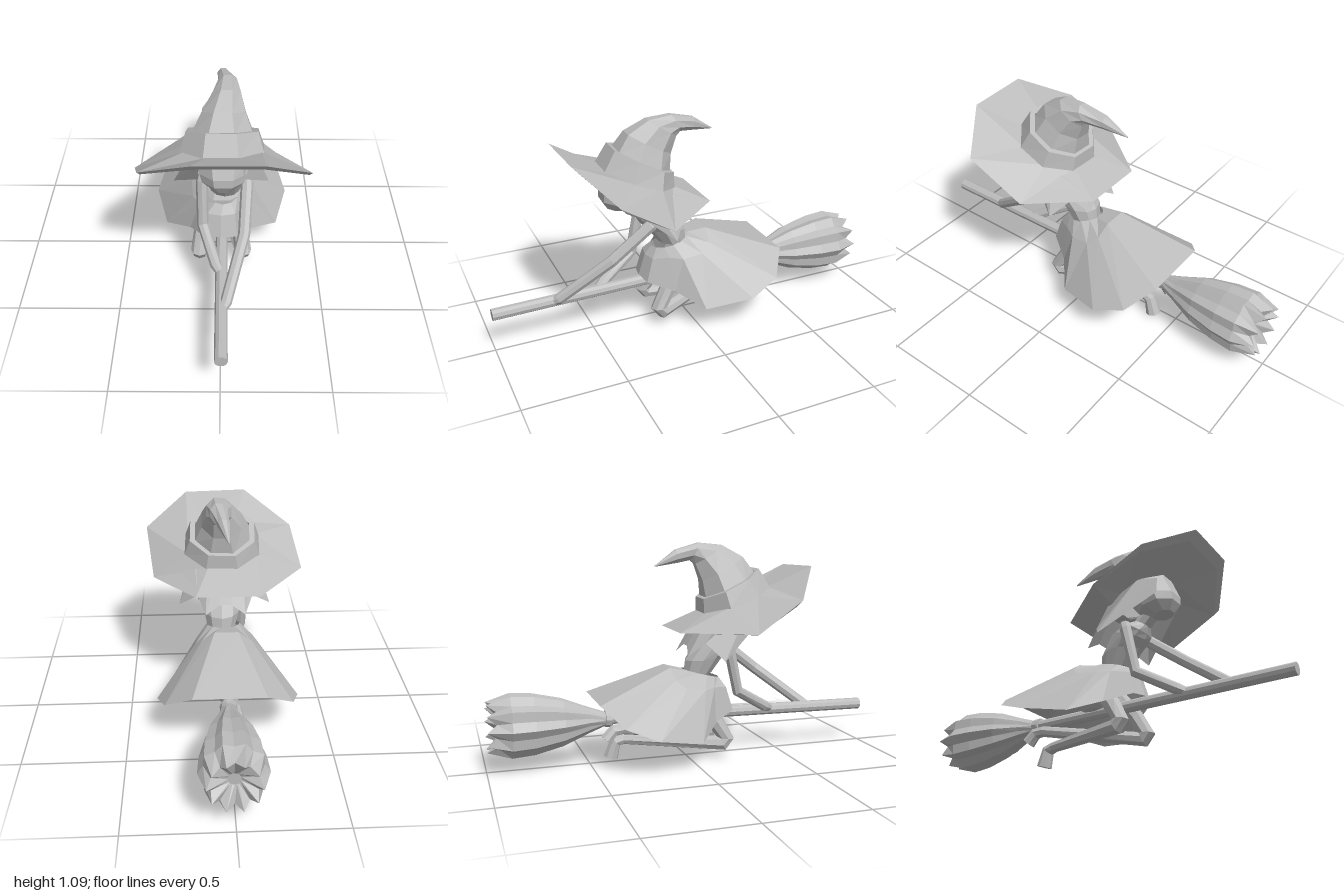
import * as THREE from 'three';

const V = (x, y, z) => new THREE.Vector3(x, y, z);

// Ring of n points, ordered from the front toward +x; lean tips the ring's front edge up (degrees)
function ring(n, x, y, z, rx, rd, lean = 0, phase = 0) {
  const l = THREE.MathUtils.degToRad(lean);
  return Array.from({ length: n }, (_, i) => {
    const a = ((i + phase) / n) * Math.PI * 2, d = rd * Math.cos(a);
    return V(x + rx * Math.sin(a), y + d * Math.sin(l), z + d * Math.cos(l));
  });
}

// Full loop from the points of one half (front centre first)
function mirrored(half) {
  const right = half.map((p) => V(...p));
  const left = half.slice(1).reverse().map((p) => V(-p[0], p[1], p[2]));
  return [...right, ...left];
}

// Faceted skin through a list of rings
function loft(rings, { capStart = false, capEnd = false, closed = true } = {}) {
  const pos = [];
  const tri = (...ps) => ps.forEach((p) => pos.push(p.x, p.y, p.z));
  const n = rings[0].length;
  for (let i = 0; i < rings.length - 1; i++) {
    for (let j = 0; j < (closed ? n : n - 1); j++) {
      const k = (j + 1) % n, a = rings[i], b = rings[i + 1];
      tri(a[j], a[k], b[k]);
      tri(a[j], b[k], b[j]);
    }
  }
  const cap = (r, flip) => {
    const c = r.reduce((s, p) => s.add(p), V(0, 0, 0)).divideScalar(n);
    r.forEach((p, j) => (flip ? tri(c, r[(j + 1) % n], p) : tri(c, p, r[(j + 1) % n])));
  };
  if (capStart) cap(rings[0], true);
  if (capEnd) cap(rings[rings.length - 1], false);
  const g = new THREE.BufferGeometry();
  g.setAttribute('position', new THREE.Float32BufferAttribute(pos, 3));
  g.computeVertexNormals();
  return g;
}

// Bent limb through [x, y, z, radius] points
function limb(points, n = 8) {
  const ps = points.map((p) => V(p[0], p[1], p[2]));
  const rings = ps.map((p, i) => {
    const t = V(0, 0, 0);
    if (i > 0) t.add(p.clone().sub(ps[i - 1]).normalize());
    if (i < ps.length - 1) t.add(ps[i + 1].clone().sub(p).normalize());
    t.normalize();
    const v = t.clone().cross(V(1, 0, 0)).normalize();
    const u = v.clone().cross(t);
    return Array.from({ length: n }, (_, j) => {
      const a = (j / n) * Math.PI * 2, r = points[i][3];
      return p.clone().addScaledVector(u, r * Math.cos(a)).addScaledVector(v, r * Math.sin(a));
    });
  });
  return loft(rings, { capStart: true, capEnd: true });
}

export function createModel() {
  const grey = new THREE.MeshStandardMaterial({ color: 0xbcbcbc, flatShading: true, side: THREE.DoubleSide });
  grey.name = 'grey';
  const model = new THREE.Group();
  const add = (name, geometry) => {
    const m = new THREE.Mesh(geometry, grey);
    m.name = name;
    model.add(m);
    return m;
  };
  const solid = { capStart: true, capEnd: true };

  // Broom
  add('broomHandle', limb([[0.003, 0.225, -0.45, 0.03], [0.003, 0.204, 1, 0.03]], 10));
  const bristleRing = (r, z, groove, notch = 0) =>
    Array.from({ length: 20 }, (_, i) => {
      const a = (i / 20) * Math.PI * 2, inner = i % 2;
      const q = inner ? r * groove : r;
      return V(0.005 + q * Math.cos(a), 0.223 + q * Math.sin(a), z + (inner ? notch : 0));
    });
  add('broomBristles', loft([
    bristleRing(0.03, -0.92, 1), bristleRing(0.122, -0.995, 0.88, 0.045), bristleRing(0.158, -0.88, 0.88),
    bristleRing(0.15, -0.77, 0.88), bristleRing(0.118, -0.63, 0.88), bristleRing(0.065, -0.5, 0.9),
    bristleRing(0.036, -0.42, 1), bristleRing(0.042, -0.385, 1),
  ], solid));
  add('broomBinding', limb([[0.003, 0.223, -0.42, 0.042], [0.003, 0.222, -0.39, 0.042]], 10));

  // Torso, neck and head
  add('torso', loft([
    ring(10, 0.02, 0.425, 0.07, 0.073, 0.075, 5), ring(10, 0.017, 0.505, 0.105, 0.093, 0.102, 6),
    ring(10, 0.015, 0.575, 0.158, 0.104, 0.088, -15), ring(10, 0.015, 0.608, 0.2, 0.1, 0.065, -28),
    ring(10, 0.013, 0.635, 0.235, 0.045, 0.042, -30),
  ], solid));
  add('neck', limb([[0.013, 0.61, 0.21, 0.044], [0.013, 0.7, 0.3, 0.042]]));
  add('head', loft([
    ring(8, 0.01, 0.65, 0.36, 0.05, 0.05, 10, 0.5), ring(8, 0.01, 0.69, 0.335, 0.105, 0.105, 8, 0.5),
    ring(8, 0.01, 0.73, 0.32, 0.118, 0.12, 8, 0.5), ring(8, 0.01, 0.79, 0.285, 0.137, 0.125, 15, 0.5),
    ring(8, 0.01, 0.85, 0.265, 0.115, 0.12, 20, 0.5),
  ], solid));

  // Hair hangs in points around the sides and back
  const hairTop = mirrored([[0, 0.84, 0.38], [0.1, 0.8, 0.39], [0.14, 0.8, 0.3], [0.15, 0.77, 0.18], [0.09, 0.74, 0.1], [0.03, 0.74, 0.09]]).slice(1);
  const hairEnds = mirrored([[0, 0.84, 0.4], [0.105, 0.72, 0.385], [0.235, 0.52, 0.13], [0.14, 0.6, 0.06], [0.1, 0.53, -0.02], [0.03, 0.575, 0]]).slice(1);
  add('hair', loft([hairEnds, hairTop], { closed: false }));

  // Hat: wide bent brim, band and curled cone
  const hem = [[0.19, 0.965, 0.62], [0.405, 0.82, 0.47], [0.365, 0.645, 0.2], [0.15, 0.66, -0.08],
    [-0.17, 0.66, -0.08], [-0.41, 0.67, 0.23], [-0.37, 0.82, 0.47], [-0.13, 0.97, 0.63]].map((p) => V(...p));
  const lip = hem.map((p) => V(p.x * 0.97, p.y - 0.045 * Math.max(0, p.z - 0.2) / 0.42, p.z - 0.04 * Math.max(0, p.z - 0.2) / 0.42));
  add('hatBrim', loft([
    ring(8, 0.01, 0.78, 0.26, 0.15, 0.16, 24, 0.5), lip, hem, ring(8, 0.01, 0.805, 0.255, 0.19, 0.19, 20, 0.5),
  ]));
  add('hatBand', loft([
    ring(8, 0.007, 0.8, 0.255, 0.208, 0.2, 20, 0.45), ring(8, 0.007, 0.885, 0.225, 0.178, 0.176, 27, 0.45),
    ring(8, 0.007, 0.885, 0.225, 0.15, 0.15, 27, 0.45),
  ]));
  add('hatCone', loft([
    ring(8, 0.007, 0.87, 0.225, 0.152, 0.155, 27, 0.45), ring(8, 0.012, 0.96, 0.19, 0.108, 0.13, 29, 0.45),
    ring(8, 0.027, 1.03, 0.125, 0.068, 0.09, 34, 0.45), ring(8, 0.03, 1.045, 0.055, 0.046, 0.052, 62, 0.45),
    ring(8, 0.01, 1.022, -0.045, 0.03, 0.035, 98, 0.45), ring(8, -0.01, 0.975, -0.16, 0.003, 0.003, 110, 0.45),
  ], solid));

  // Skirt covers the lap and flares backward over the hips
  const skirtHem = mirrored([[0, 0.25, 0.245], [0.08, 0.24, 0.23], [0.16, 0.2, 0.11], [0.29, 0.14, 0],
    [0.352, 0.18, -0.23], [0.31, 0.24, -0.385], [0.178, 0.33, -0.478]]);
  const skirtHip = mirrored([[0, 0.36, 0.21], [0.07, 0.36, 0.195], [0.11, 0.37, 0.12], [0.145, 0.365, 0.06],
    [0.155, 0.38, -0.04], [0.125, 0.42, -0.09], [0.06, 0.473, -0.1]]);
  const waist = ring(13, 0.01, 0.43, 0.08, 0.085, 0.1, -14);
  add('skirt', loft([skirtHem, skirtHip, waist]));
  const hips = add('hips', new THREE.SphereGeometry(0.133, 10, 7));
  hips.scale.set(1, 0.85, 1);
  hips.position.set(0, 0.33, -0.04);

  // Arms reach forward to the handle
  add('leftArm', limb([[0.115, 0.605, 0.19, 0.03], [0.125, 0.575, 0.225, 0.031], [0.11, 0.42, 0.42, 0.029], [0.025, 0.225, 0.67, 0.028], [0.005, 0.205, 0.7, 0.022]]));
  add('rightArm', limb([[-0.085, 0.605, 0.19, 0.03], [-0.093, 0.575, 0.2, 0.03], [-0.09, 0.34, 0.25, 0.029], [-0.025, 0.235, 0.43, 0.028], [0, 0.215, 0.47, 0.022]]));

  // Legs fold back under the broom and cross at the ankles
  const leg = (side, ankle) => [
    [side * 0.07, 0.29, 0.05, 0.05], [side * 0.1, 0.19, 0.13, 0.042], [side * 0.113, 0.105, 0.18, 0.043],
    [side * 0.113, 0.08, 0.16, 0.042], ...ankle,
  ];
  add('leftLeg', limb(leg(1, [[-0.035, 0.175, -0.34, 0.028], [-0.04, 0.17, -0.385, 0.03], [-0.045, 0.125, -0.425, 0.033]])));
  add('rightLeg', limb(leg(-1, [[0.03, 0.105, -0.32, 0.028], [0.035, 0.095, -0.36, 0.032], [0.038, 0.013, -0.385, 0.038]])));

  return model;
}
